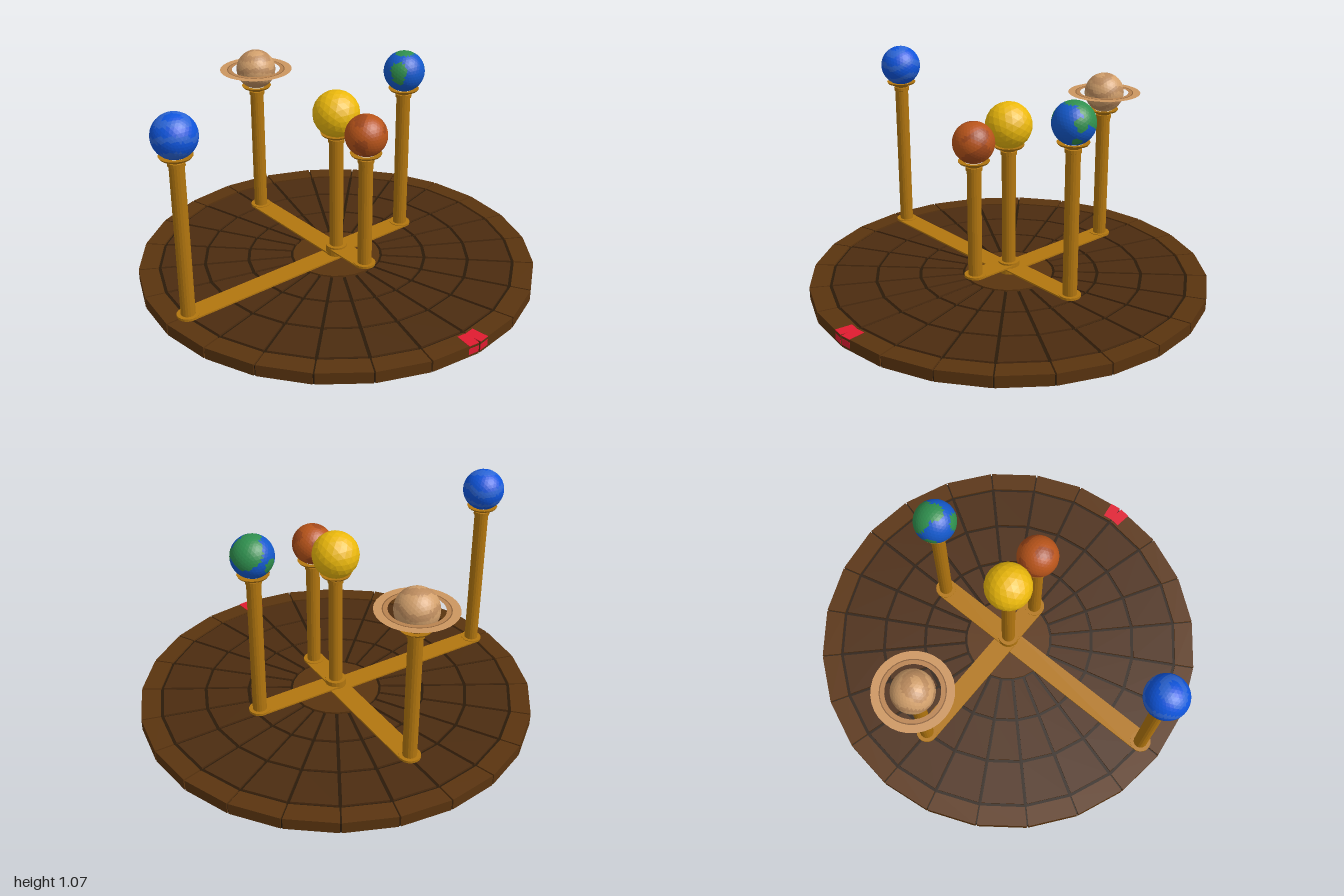
import * as THREE from 'three';

const BRASS = 0xb2760f, GROOVE = 0x2a1a09, TILE = 0x4c2c10, RIM = 0x5a340f;

function material(color, side = THREE.FrontSide) {
  return new THREE.MeshStandardMaterial({ color, flatShading: true, side });
}

function add(parent, name, geometry, color, x = 0, y = 0, z = 0) {
  const mesh = new THREE.Mesh(geometry, material(color));
  mesh.name = name;
  mesh.position.set(x, y, z);
  parent.add(mesh);
  return mesh;
}

// Straight-edged sector between two radii, with a gap all round
function tileGeometry(r0, r1, gap, depth) {
  const half = Math.PI / 24, c = Math.cos(half), s = Math.tan(half);
  const a = r0 * c, b = r1 * c;
  const shape = new THREE.Shape([
    new THREE.Vector2(a, -a * s + gap), new THREE.Vector2(b, -b * s + gap),
    new THREE.Vector2(b, b * s - gap), new THREE.Vector2(a, a * s - gap),
  ]);
  const g = new THREE.ExtrudeGeometry(shape, { depth, bevelEnabled: false });
  return g.rotateX(-Math.PI / 2);
}

function createBase() {
  const base = new THREE.Group();
  base.name = 'base';
  add(base, 'baseCore', new THREE.CylinderGeometry(0.993, 0.993, 0.05, 24), GROOVE, 0, 0.025, 0);
  add(base, 'centreDisc', new THREE.CylinderGeometry(0.222, 0.222, 0.012, 24), RIM, 0, 0.054, 0);

  // Rings of tiles, separated by dark grooves
  const rings = [[0.235, 0.442], [0.458, 0.662], [0.678, 0.888], [0.903, 1]];
  rings.forEach(([r0, r1], ring) => {
    const outer = ring === 3;
    const geometry = tileGeometry(r0, r1, outer ? 0.004 : 0.008, outer ? 0.058 : 0.012);
    for (let i = 0; i < 24; i++) {
      const tile = add(base, outer ? 'rimTile' : 'floorTile', geometry, outer ? RIM : TILE, 0, outer ? 0.002 : 0.048, 0);
      tile.rotation.y = (i + 0.5) * Math.PI / 12;
    }
  });

  // Red marker on the rim, split by a groove
  for (const s of [-1, 1]) {
    const marker = new THREE.Group();
    marker.name = 'redMarker';
    marker.rotation.y = s * Math.PI / 24;
    add(marker, 'markerTop', new THREE.BoxGeometry(0.085, 0.003, 0.055), 0xe01b30, 0.95, 0.0602, s * 0.098);
    add(marker, 'markerSide', new THREE.BoxGeometry(0.003, 0.032, 0.055), 0xe01b30, 0.991, 0.03, s * 0.098);
    base.add(marker);
  }
  return base;
}

// Faceted ball whose triangles are split into two colours by a rule on direction
function createBall(name, radius, detail, color, patchColor, isPatch) {
  const ball = new THREE.Group();
  ball.name = name;
  const source = new THREE.IcosahedronGeometry(radius, detail).getAttribute('position');
  const lists = [[], []], v = new THREE.Vector3(), mid = new THREE.Vector3();
  for (let i = 0; i < source.count; i += 3) {
    mid.set(0, 0, 0);
    for (let k = 0; k < 3; k++) mid.add(v.fromBufferAttribute(source, i + k));
    const list = lists[isPatch && isPatch(mid.normalize()) ? 1 : 0];
    for (let k = 0; k < 3; k++) list.push(...v.fromBufferAttribute(source, i + k).toArray());
  }
  lists.forEach((list, n) => {
    if (!list.length) return;
    const g = new THREE.BufferGeometry();
    g.setAttribute('position', new THREE.Float32BufferAttribute(list, 3));
    g.computeVertexNormals();
    add(ball, n ? 'surfacePatches' : 'surface', g, n ? patchColor : color);
  });
  return ball;
}

// Post with a round foot and a cup that holds the ball
function postGeometry(foot, footHeight, top) {
  const profile = [
    [0, foot], [0.054, foot], [0.054, foot + footHeight], [0.035, foot + footHeight],
    [0.035, top - 0.02], [0.04, top - 0.018], [0.04, top], [0.034, top + 0.002],
    [0.04, top + 0.01], [0.07, top + 0.02], [0.077, top + 0.03], [0.045, top + 0.026],
  ];
  return new THREE.LatheGeometry(profile.map(([x, y]) => new THREE.Vector2(x, y)), 18);
}

// Land caps: direction and angular size
const land = [
  [-0.5, 0.6, -0.6, 0.85], [0, 1, 0, 0.45], [0.45, 0.3, 0.8, 0.42], [0.5, -0.1, 0.85, 0.3],
  [0.4, 0.2, -0.9, 0.32], [0.4, -0.65, -0.6, 0.25], [-0.8, -0.2, 0.4, 0.35],
].map(([x, y, z, a]) => ({ dir: new THREE.Vector3(x, y, z).normalize(), limit: Math.cos(a) }));
const isLand = (d) => land.some((c) => d.dot(c.dir) > c.limit);
const mottled = (d) => Math.sin(5 * d.x + 2 * d.y) + Math.sin(6 * d.y + 3 * d.z) + Math.sin(5 * d.z - 3 * d.x) > 0.7;
const banded = (d) => Math.sin(9 * d.y + 1.5 * Math.sin(3 * d.x + 2 * d.z)) > 0.35;

export function createModel() {
  const model = new THREE.Group();
  model.name = 'orrery';
  model.add(createBase());

  const bodies = [
    { name: 'yellowBall', x: 0, z: 0, y: 0.835, r: 0.116, foot: 0.06, color: 0xecb90c, detail: 3 },
    { name: 'rustBall', x: 0.22, z: 0, y: 0.795, r: 0.102, foot: 0.1, color: 0xb8541a, patch: 0xa2481a, rule: mottled },
    { name: 'blueGreenBall', x: 0, z: -0.44, y: 0.95, r: 0.103, foot: 0.085, color: 0x1459cc, patch: 0x2f8f4e, rule: isLand },
    { name: 'ringedBall', x: -0.665, z: 0, y: 0.877, r: 0.102, foot: 0.072, color: 0xd2a06c, patch: 0xbd8c5e, rule: banded },
    { name: 'blueBall', x: 0, z: 0.885, y: 0.965, r: 0.104, foot: 0.06, color: 0x0f55dd, patch: 0x2b66d8, rule: banded },
  ];
  for (const b of bodies) {
    const unit = new THREE.Group();
    unit.name = b.name + 'Unit';
    const reach = Math.hypot(b.x, b.z), centre = reach === 0;
    add(unit, 'post', postGeometry(b.foot, centre ? 0.058 : 0.012, b.y - (centre ? 0.13 : 0.12)), BRASS, b.x, 0, b.z);
    // Flat arm from the hub out to the post
    if (!centre) {
      const size = b.x ? [reach, 0.008, 0.108] : [0.108, 0.008, reach];
      add(unit, 'arm', new THREE.BoxGeometry(...size), BRASS, b.x / 2, b.foot + 0.005, b.z / 2);
    }
    const ball = createBall(b.name, b.r, b.detail ?? 6, b.color, b.patch, b.rule);
    ball.position.set(b.x, b.y, b.z);
    unit.add(ball);

    // Flat rings round the ball
    if (b.name === 'ringedBall') {
      for (const [r0, r1, color] of [[0.126, 0.146, 0xb98350], [0.146, 0.151, 0x8a5f38], [0.151, 0.188, 0xcc9660]]) {
        const ring = add(ball, 'ring', new THREE.RingGeometry(r0, r1, 32), color);
        ring.material.side = THREE.DoubleSide;
        ring.rotation.x = -Math.PI / 2;
      }
    }
    model.add(unit);
  }
  return model;
}
